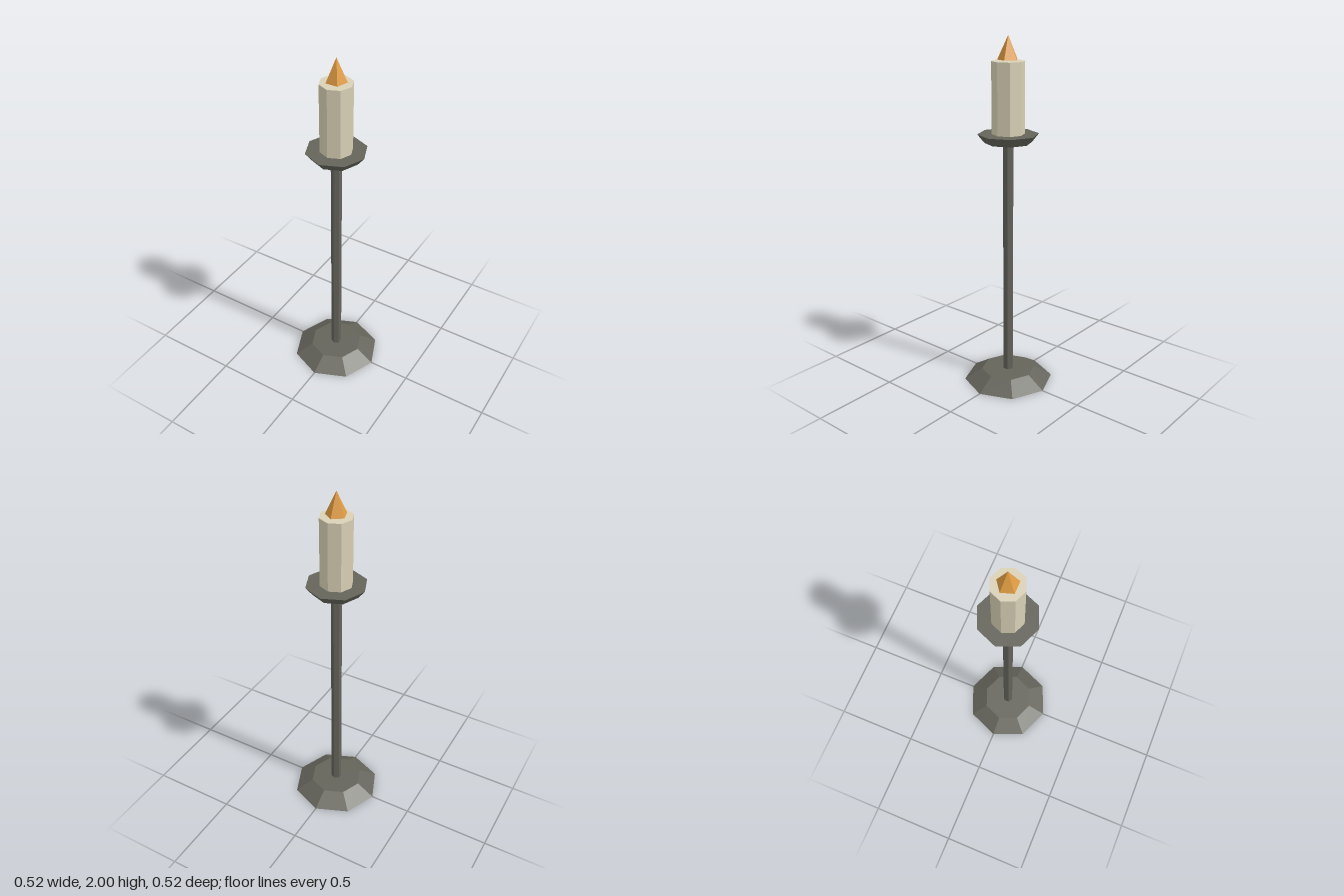
import * as THREE from 'three';

export function createModel() {
  const group = new THREE.Group();
  const material = (name, color) => {
    const m = new THREE.MeshStandardMaterial({ color, flatShading: true });
    m.name = name;
    return m;
  };
  const iron = material('dark iron', 0x64645b);
  const wax = material('cream wax', 0xd9d0b6);
  const fire = material('orange flame', 0xe09c42);

  // Faceted round part standing between two heights
  const addPart = (name, mat, sides, bottomRadius, topRadius, y0, y1) => {
    const geometry = new THREE.CylinderGeometry(topRadius, bottomRadius, y1 - y0, sides);
    const mesh = new THREE.Mesh(geometry, mat);
    mesh.name = name;
    mesh.position.y = (y0 + y1) / 2;
    group.add(mesh);
    return mesh;
  };

  // Holder
  addPart('base', iron, 8, 0.258, 0.155, 0, 0.065);
  addPart('stem', iron, 6, 0.03, 0.03, 0.06, 1.44);
  addPart('dripTray', iron, 8, 0.129, 0.168, 1.43, 1.478);

  // Candle and its five-sided flame, one corner pointing back
  addPart('candle', wax, 8, 0.09, 0.09, 1.475, 1.866);
  addPart('flame', fire, 5, 0.058, 0, 1.873, 2).rotation.y = Math.PI;

  return group;
}
